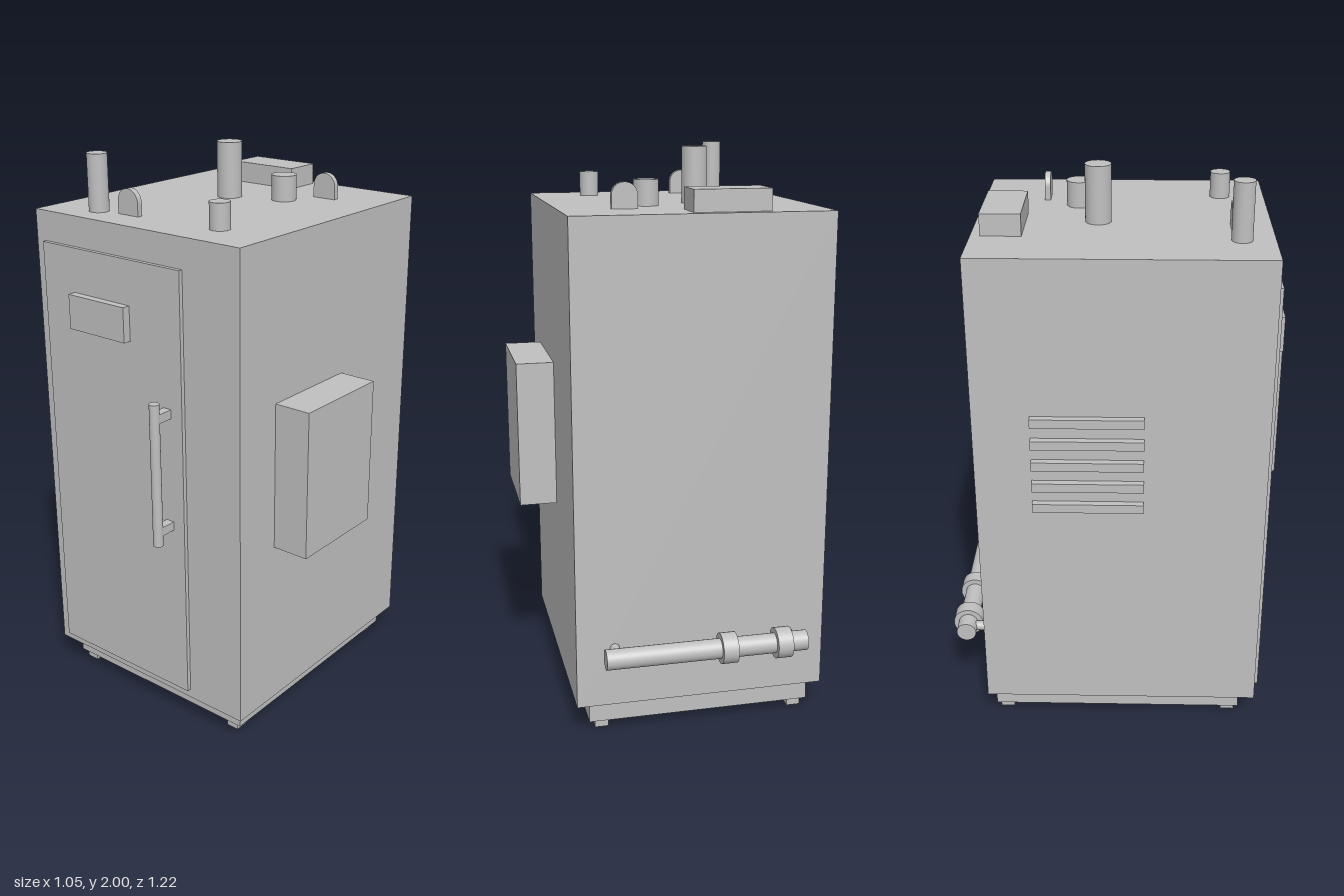
import * as THREE from 'three';

export function createModel() {
  const model = new THREE.Group();
  model.name = 'cabinet';
  const grey = new THREE.MeshStandardMaterial({ color: 0xc0c0c0 });
  grey.name = 'plain grey';

  const add = (name, geometry, x, y, z) => {
    const mesh = new THREE.Mesh(geometry, grey);
    mesh.name = name;
    mesh.position.set(x, y, z);
    model.add(mesh);
    return mesh;
  };
  // Box given by its limits on each axis
  const box = (name, x0, x1, y0, y1, z0, z1) =>
    add(name, new THREE.BoxGeometry(x1 - x0, y1 - y0, z1 - z0),
      (x0 + x1) / 2, (y0 + y1) / 2, (z0 + z1) / 2);
  // Cylinders along each axis
  const post = (name, x, z, r, y0, y1) =>
    add(name, new THREE.CylinderGeometry(r, r, y1 - y0, 32), x, (y0 + y1) / 2, z);
  const rodX = (name, x0, x1, y, z, r) =>
    add(name, new THREE.CylinderGeometry(r, r, x1 - x0, 32).rotateZ(Math.PI / 2), (x0 + x1) / 2, y, z);
  const rodZ = (name, x, y, z0, z1, r) =>
    add(name, new THREE.CylinderGeometry(r, r, z1 - z0, 24).rotateX(Math.PI / 2), x, y, (z0 + z1) / 2);

  const TOP = 1.805;

  // Cabinet, plinth and feet
  box('body', -0.503, 0.391, 0.105, TOP, -0.475, 0.51);
  box('plinth', -0.46, 0.345, 0.03, 0.105, -0.449, 0.456);
  for (const x of [-0.417, 0.299])
    for (const z of [-0.411, 0.418])
      box('foot', x - 0.024, x + 0.024, 0, 0.03, z - 0.025, z + 0.025);

  // Door with raised plate and handle
  box('door', -0.46, 0.159, 0.138, 1.7, 0.51, 0.525);
  box('doorPlate', -0.317, -0.063, 1.423, 1.545, 0.525, 0.554);
  post('handleBar', 0.095, 0.588, 0.0175, 0.74, 1.258);
  for (const y of [0.793, 1.206])
    box('handleBracket', 0.079, 0.111, y - 0.016, y + 0.016, 0.525, 0.588);

  // Control box on the left side, vent slats on the right side
  box('controlBox', 0.391, 0.525, 0.72, 1.25, -0.056, 0.324);
  for (let i = 0; i < 5; i++) {
    const y = 0.929 + i * 0.08;
    box('ventSlat', -0.528, -0.503, y - 0.016, y + 0.016, -0.282, 0.095);
  }

  // Roof box and pipe stubs
  box('roofBox', -0.287, -0.023, TOP, 1.879, -0.443, -0.308);
  post('tallPipe', -0.119, -0.066, 0.044, TOP, 2);
  post('tallPipe', -0.308, 0.4, 0.035, TOP, 2);
  post('shortPipe', 0.069, -0.138, 0.044, TOP, 1.894);
  post('shortPipe', 0.185, 0.354, 0.035, TOP, 1.894);

  // Round-topped lifting lugs
  const r = 0.045, lugDepth = 0.02;
  const arch = new THREE.Shape();
  arch.moveTo(-r, 0);
  arch.lineTo(r, 0);
  arch.lineTo(r, 0.044);
  arch.absarc(0, 0.044, r, 0, Math.PI, false);
  arch.lineTo(-r, 0);
  const lug = new THREE.ExtrudeGeometry(arch, { depth: lugDepth, bevelEnabled: false, curveSegments: 20 });
  add('liftingLug', lug, -0.181, TOP, 0.372);
  add('liftingLug', lug, 0.168, TOP, -0.263);

  // Rear pipe with collars and wall supports
  const py = 0.319, pz = -0.556;
  rodX('rearPipe', -0.413, 0.303, py, pz, 0.0355);
  for (const x of [-0.325, -0.128]) rodX('pipeCollar', x - 0.0275, x + 0.0275, py, pz, 0.054);
  for (const x of [-0.37, 0.256]) rodZ('pipeSupport', x, py, pz, -0.475, 0.0175);

  return model;
}
